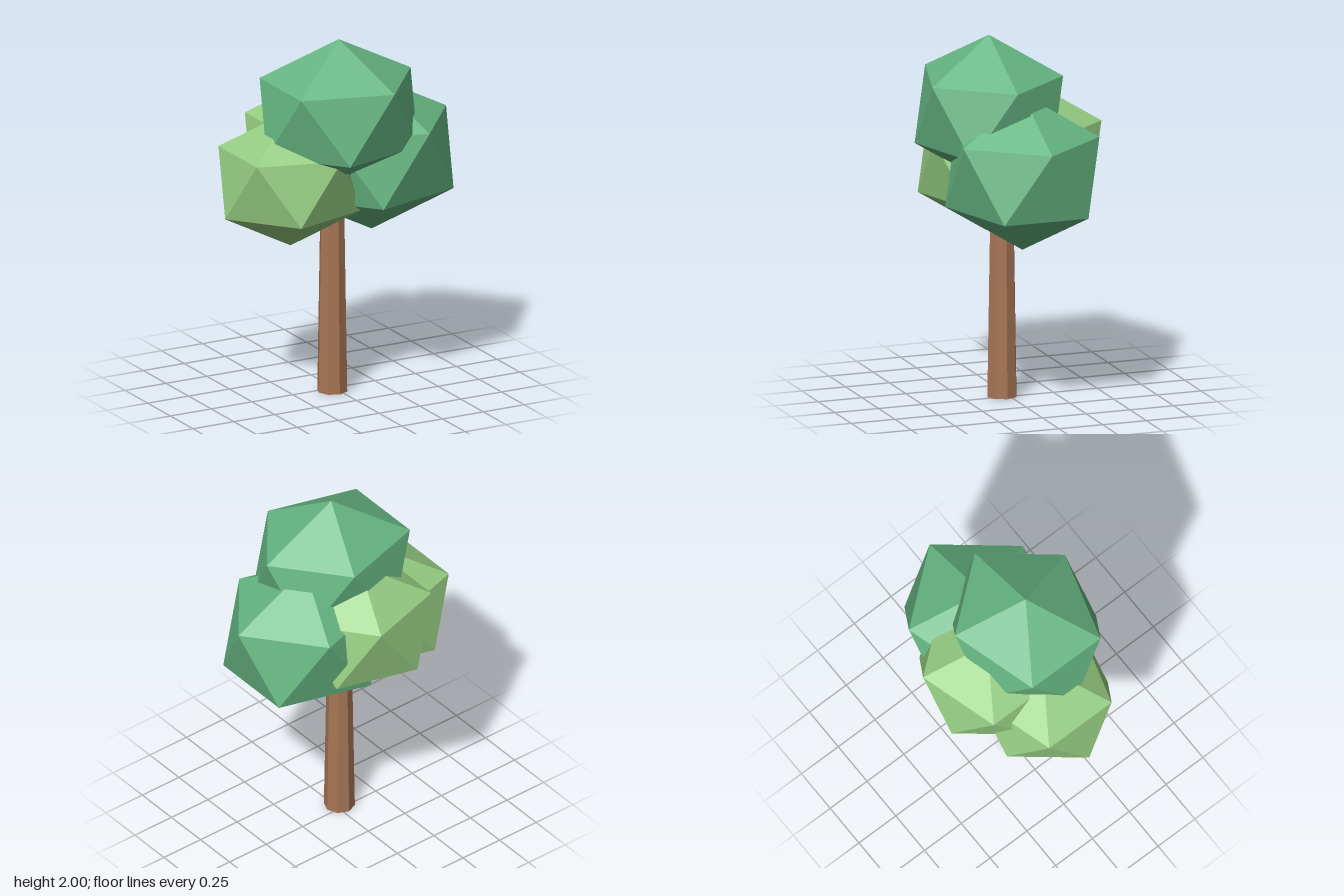
import * as THREE from 'three';

const paint = (name, color) => {
  const m = new THREE.MeshStandardMaterial({ color, flatShading: true });
  m.name = name;
  return m;
};

export function createModel() {
  const tree = new THREE.Group();
  tree.name = 'tree';
  const bark = paint('brown bark', 0xa87656);
  const deepGreen = paint('deep green leaves', 0x66b682);
  const lightGreen = paint('light green leaves', 0x95cc81);

  // Tapered eight-sided trunk, its top hidden in the foliage
  const trunk = new THREE.Mesh(new THREE.CylinderGeometry(0.063, 0.0835, 1.25, 8), bark);
  trunk.name = 'trunk';
  trunk.position.set(-0.028, 0.625, 0.034);
  tree.add(trunk);

  // Leaf clump: squashed icosahedron standing on a corner, upper ring pointing to +x
  const tilt = Math.atan(2 / (1 + Math.sqrt(5)));
  const addClump = (name, material, center, radii) => {
    const geometry = new THREE.IcosahedronGeometry(1, 0);
    geometry.rotateZ(-tilt);
    geometry.scale(...radii);
    geometry.computeVertexNormals();
    const clump = new THREE.Mesh(geometry, material);
    clump.name = name;
    clump.position.set(...center);
    tree.add(clump);
  };
  addClump('topLeaves', deepGreen, [-0.03, 1.588, 0.108], [0.492, 0.412, 0.439]);
  addClump('leftLeaves', deepGreen, [0.225, 1.295, 0.012], [0.509, 0.43, 0.456]);
  addClump('rightLeaves', lightGreen, [-0.282, 1.236, 0.031], [0.447, 0.38, 0.403]);
  addClump('backLeaves', lightGreen, [-0.024, 1.335, -0.144], [0.447, 0.38, 0.403]);

  return tree;
}
